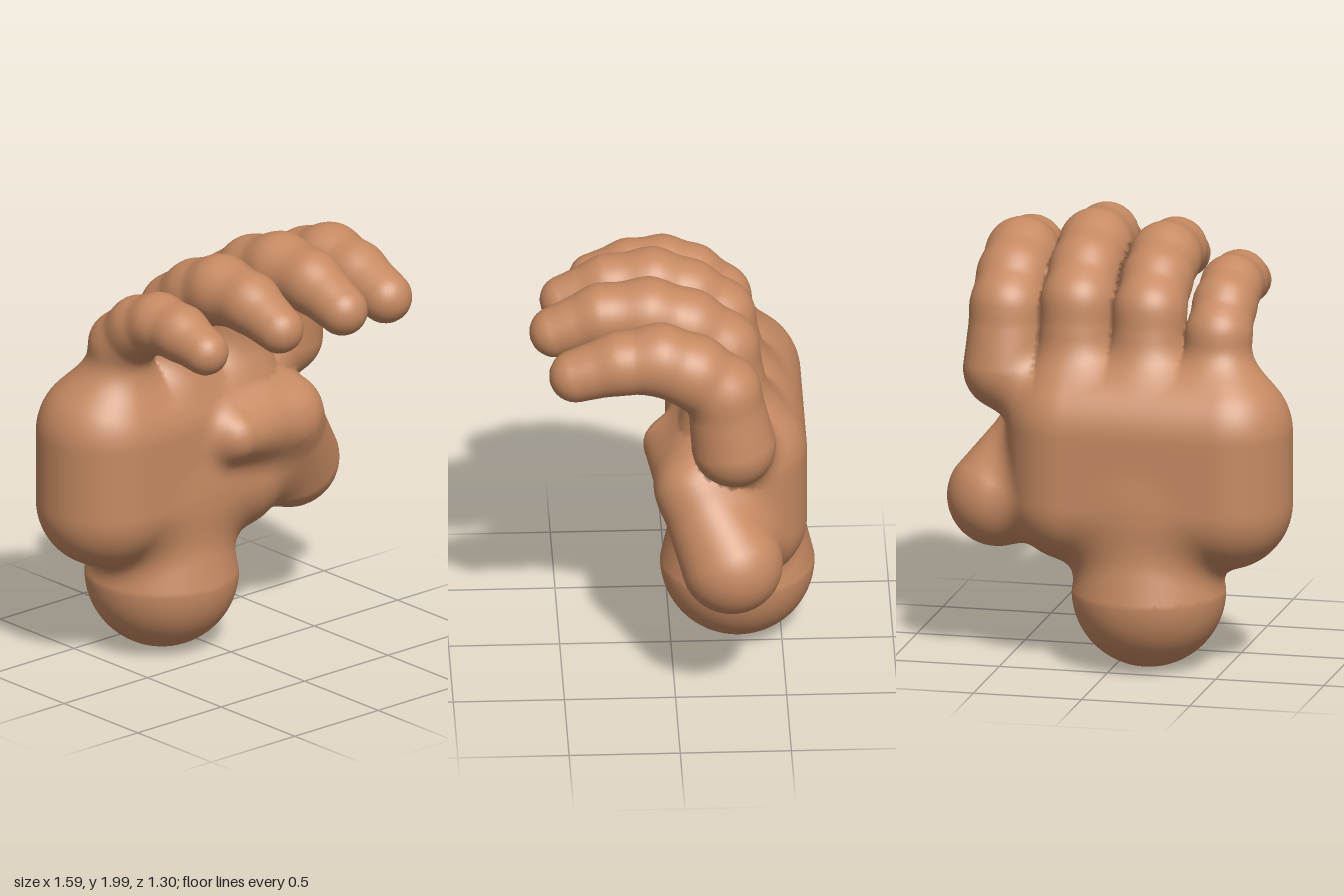
import * as THREE from 'three';

const V = (x, y, z) => new THREE.Vector3(x, y, z);
const CELL = 0.025;
const LOW = [-0.9, -0.08, -0.76];
const COUNT = [72, 87, 61];

// Smooth union of two distances
function blend(a, b, k) {
  const h = Math.max(k - Math.abs(a - b), 0) / k;
  return Math.min(a, b) - h * h * k * 0.25;
}

// Distance to a chain of tapered limbs; each joint is [x, y, z, radius]
function chain(joints, k = 0.03) {
  return (x, y, z) => {
    let d = 9;
    for (let i = 0; i + 1 < joints.length; i++) {
      const [ax, ay, az, ar] = joints[i], [bx, by, bz, br] = joints[i + 1];
      const ux = bx - ax, uy = by - ay, uz = bz - az;
      let t = ((x - ax) * ux + (y - ay) * uy + (z - az) * uz) / (ux * ux + uy * uy + uz * uz);
      t = Math.min(1, Math.max(0, t));
      const s = Math.hypot(x - ax - t * ux, y - ay - t * uy, z - az - t * uz) - ar - t * (br - ar);
      d = blend(d, s, k);
    }
    return d;
  };
}

// Distance to a box with rounded edges
function roundedBox([cx, cy, cz], [hx, hy, hz], r) {
  return (x, y, z) => {
    const qx = Math.abs(x - cx) - hx + r, qy = Math.abs(y - cy) - hy + r, qz = Math.abs(z - cz) - hz + r;
    return Math.hypot(Math.max(qx, 0), Math.max(qy, 0), Math.max(qz, 0)) +
      Math.min(Math.max(qx, qy, qz), 0) - r;
  };
}

// A finger keeps one x and curls forward through [y, z, radius] joints
const finger = (x, joints) => chain(joints.map(([y, z, r]) => [x, y, z, r]));

const parts = {
  palm: roundedBox([-0.15, 0.935, -0.3], [0.65, 0.465, 0.305], 0.3),
  wrist: chain([[-0.145, 0.348, -0.305, 0.348], [-0.14, 0.75, -0.3, 0.26]]),
  thumb: chain([[0.565, 0.73, -0.25, 0.23], [0.39, 1.02, -0.1, 0.18], [0.02, 1.04, 0.01, 0.115]], 0.05),
  indexFinger: finger(0.53, [[1.325, -0.26, 0.19], [1.6, -0.215, 0.165], [1.71, -0.08, 0.165],
    [1.775, 0.07, 0.16], [1.76, 0.25, 0.14], [1.7, 0.45, 0.12]]),
  middleFinger: finger(0.2, [[1.35, -0.26, 0.18], [1.64, -0.22, 0.165], [1.76, -0.07, 0.16],
    [1.825, 0.11, 0.16], [1.82, 0.32, 0.14], [1.74, 0.53, 0.115]]),
  ringFinger: finger(-0.13, [[1.35, -0.26, 0.18], [1.62, -0.22, 0.16], [1.73, -0.08, 0.155],
    [1.795, 0.08, 0.155], [1.785, 0.28, 0.135], [1.715, 0.475, 0.11]]),
  littleFinger: finger(-0.45, [[1.33, -0.26, 0.155], [1.53, -0.23, 0.145], [1.64, -0.11, 0.14],
    [1.695, 0.02, 0.135], [1.69, 0.17, 0.125], [1.645, 0.335, 0.105]]),
};
const names = Object.keys(parts);
const fingerNames = names.filter((n) => n.endsWith('Finger'));

// Whole hand: everything melts into the palm, neighbouring fingers stay creased
function hand(x, y, z) {
  const palm = parts.palm(x, y, z);
  const base = blend(blend(palm, parts.wrist(x, y, z), 0.12), parts.thumb(x, y, z), 0.1);
  let d = base;
  for (const n of fingerNames) {
    const f = parts[n](x, y, z);
    d = Math.min(d, f, blend(palm, f, 0.12));
  }
  return d;
}

function slope(p) {
  const e = 0.004;
  return V(
    hand(p.x + e, p.y, p.z) - hand(p.x - e, p.y, p.z),
    hand(p.x, p.y + e, p.z) - hand(p.x, p.y - e, p.z),
    hand(p.x, p.y, p.z + e) - hand(p.x, p.y, p.z - e)).normalize();
}

function nearestPart(p) {
  let best = names[0], least = Infinity;
  for (const n of names) {
    const d = parts[n](p.x, p.y, p.z);
    if (d < least) { least = d; best = n; }
  }
  return best;
}

// Skin the distance field: one vertex per crossed cell, one quad per crossed edge
function skin() {
  const [nx, ny, nz] = COUNT;
  const step = [1, nx, nx * ny];
  const value = new Float32Array(nx * ny * nz);
  const at = (i, j, k) => V(LOW[0] + i * CELL, LOW[1] + j * CELL, LOW[2] + k * CELL);
  const each = (from, fn) => {
    for (let k = from; k < nz - 1; k++)
      for (let j = from; j < ny - 1; j++)
        for (let i = from; i < nx - 1; i++) fn(i + j * nx + k * nx * ny, i, j, k);
  };
  for (let k = 0, n = 0; k < nz; k++)
    for (let j = 0; j < ny; j++)
      for (let i = 0; i < nx; i++, n++) {
        const p = at(i, j, k);
        value[n] = hand(p.x, p.y, p.z);
      }

  const vertex = new Map();
  each(0, (n, i, j, k) => {
    const sum = V(0, 0, 0);
    let hits = 0;
    for (let c = 0; c < 8; c++)
      for (let a = 0; a < 3; a++) {
        if (c >> a & 1) continue;
        const o = [c & 1, c >> 1 & 1, c >> 2 & 1];
        const m = n + o[0] + o[1] * step[1] + o[2] * step[2];
        const s = value[m], t = value[m + step[a]];
        if (s < 0 === t < 0) continue;
        o[a] += s / (s - t);
        sum.add(V(...o));
        hits++;
      }
    if (!hits) return;
    const p = at(i, j, k).addScaledVector(sum, CELL / hits);
    p.addScaledVector(slope(p), -hand(p.x, p.y, p.z));
    vertex.set(n, { p, normal: slope(p) });
  });

  const out = Object.fromEntries(names.map((n) => [n, { position: [], normal: [] }]));
  each(1, (n) => {
    for (let a = 0; a < 3; a++) {
      const inside = value[n] < 0;
      if (inside === value[n + step[a]] < 0) continue;
      const b = step[(a + 1) % 3], c = step[(a + 2) % 3];
      const q = [n, n - b, n - b - c, n - c].map((m) => vertex.get(m));
      if (!inside) q.reverse();
      const mid = q.reduce((s, v) => s.add(v.p), V(0, 0, 0)).multiplyScalar(0.25);
      const target = out[nearestPart(mid)];
      for (const i of [0, 1, 2, 0, 2, 3]) {
        target.position.push(...q[i].p.toArray());
        target.normal.push(...q[i].normal.toArray());
      }
    }
  });
  return out;
}

export function createModel() {
  const group = new THREE.Group();
  group.name = 'hand';
  const material = new THREE.MeshStandardMaterial({ color: 0xc68a62 });
  for (const [name, data] of Object.entries(skin())) {
    const geometry = new THREE.BufferGeometry();
    geometry.setAttribute('position', new THREE.Float32BufferAttribute(data.position, 3));
    geometry.setAttribute('normal', new THREE.Float32BufferAttribute(data.normal, 3));
    const mesh = new THREE.Mesh(geometry, material);
    mesh.name = name;
    group.add(mesh);
  }
  return group;
}
